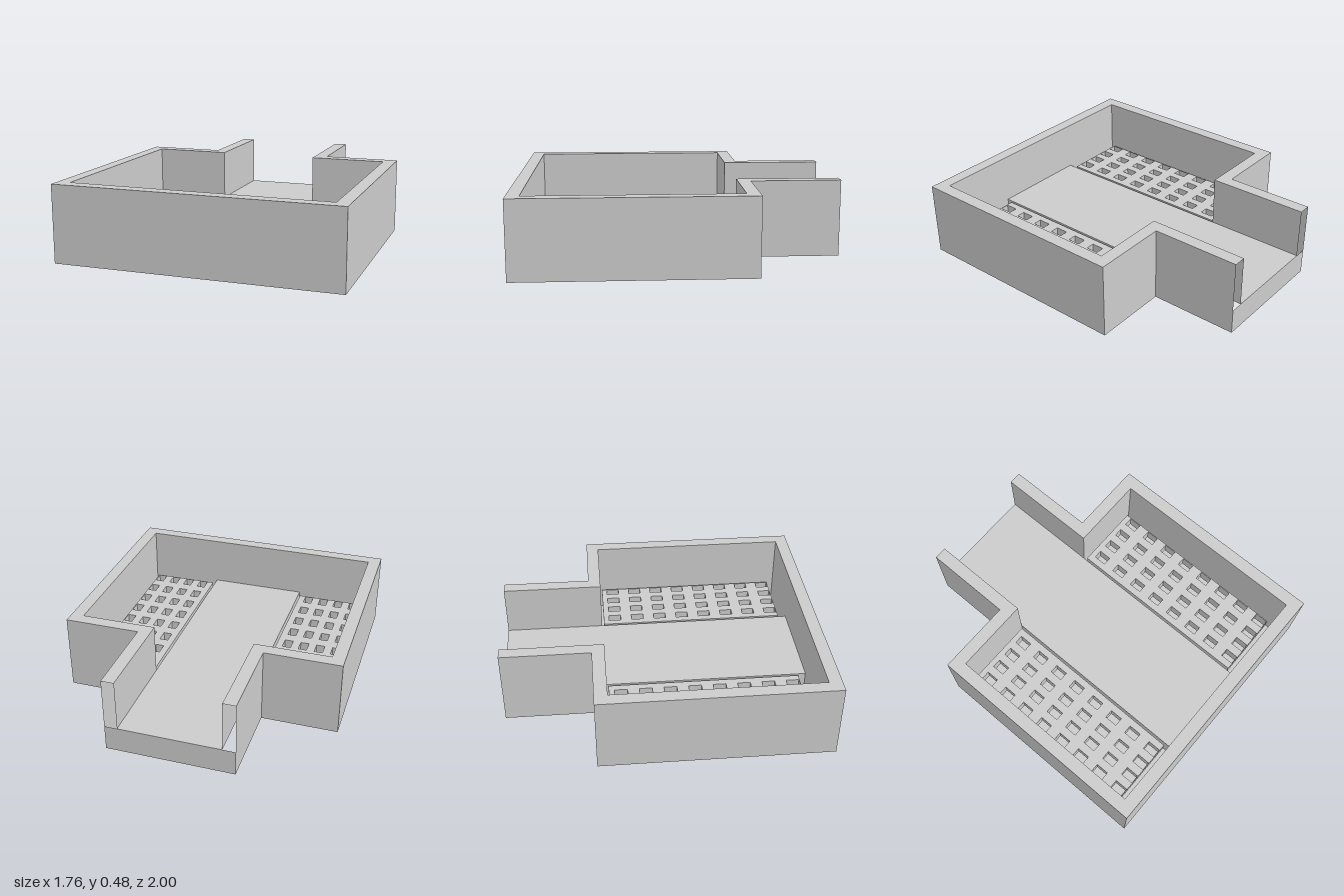
import * as THREE from 'three';

const H = 0.48, FLOOR = 0.16;
const mat = new THREE.MeshStandardMaterial({ color: 0xcccccc, flatShading: true, side: THREE.DoubleSide });

// Upright sheet following a path of [x, z] points between two heights
function wall(path, y0, y1) {
  const pos = [];
  for (let i = 0; i + 1 < path.length; i++) {
    const [ax, az] = path[i], [bx, bz] = path[i + 1];
    pos.push(ax, y0, az, bx, y0, bz, bx, y1, bz, ax, y0, az, bx, y1, bz, ax, y1, az);
  }
  const g = new THREE.BufferGeometry();
  g.setAttribute('position', new THREE.Float32BufferAttribute(pos, 3));
  g.computeVertexNormals();
  return g;
}

// Plan shapes use y = -z, so they lie flat with normals up after rotation
const plan = (points) => new THREE.Shape(points.map(([x, z]) => new THREE.Vector2(x, -z)));
const rect = (x0, x1, z0, z1) => [[x0, z1], [x1, z1], [x1, z0], [x0, z0]];
const flat = (shape, y) => new THREE.ShapeGeometry(shape).rotateX(-Math.PI / 2).translate(0, y, 0);

export function createModel() {
  const model = new THREE.Group();
  const add = (name, geometry) => {
    const m = new THREE.Mesh(geometry, mat);
    m.name = name;
    model.add(m);
  };

  // Hollow perimeter wall: outer skin, inner skin and top rim; open below and at the passage ends
  const mirror = (p) => p.map(([x, z]) => [-x, z]).reverse();
  const outerHalf = [[-0.4, -1], [-0.4, -0.44], [-0.88, -0.44], [-0.88, 1]];
  const innerHalf = [[-0.32, -1], [-0.32, -0.36], [-0.8, -0.36], [-0.8, 0.92]];
  const outer = [...outerHalf, ...mirror(outerHalf)];
  const inner = [...innerHalf, ...mirror(innerHalf)];
  add('outerWall', wall(outer, 0, H));
  add('innerWall', wall([...inner].reverse(), FLOOR, H));
  add('wallRim', flat(plan([...outer, ...[...inner].reverse()]), H));

  // Central walkway running out through the passage
  add('walkway', flat(plan(rect(-0.32, 0.32, -1, 0.92)), FLOOR));
  add('passageSill', wall([[0.4, -1], [-0.4, -1]], 0, FLOOR));

  for (const [side, s] of [['left', 1], ['right', -1]]) {
    const span = (a, b) => (s > 0 ? [a, b] : [-b, -a]);

    // Sunken pit beside the walkway
    const [p0, p1] = span(0.32, 0.8);
    const pit = rect(p0, p1, -0.36, 0.92);
    add(side + 'PitFloor', flat(plan(pit), 0));
    add(side + 'PitWalls', wall([...pit, pit[0]].reverse(), 0, FLOOR));

    // Grating with 4 x 8 rectangular openings
    const [g0, g1] = span(0.335, 0.765);
    const grating = plan(rect(g0, g1, -0.345, 0.87));
    for (let i = 0; i < 4; i++) {
      for (let j = 0; j < 8; j++) {
        const x = s * (0.406 + 0.1083 * i), z = -0.268 + 0.156 * j;
        const hole = plan(rect(x - 0.028, x + 0.028, z - 0.041, z + 0.041).reverse());
        grating.holes.push(new THREE.Path(hole.getPoints()));
      }
    }
    const g = new THREE.ExtrudeGeometry(grating, { depth: 0.08, bevelEnabled: false });
    add(side + 'Grating', g.rotateX(-Math.PI / 2).translate(0, FLOOR - 0.08, 0));
  }
  return model;
}
